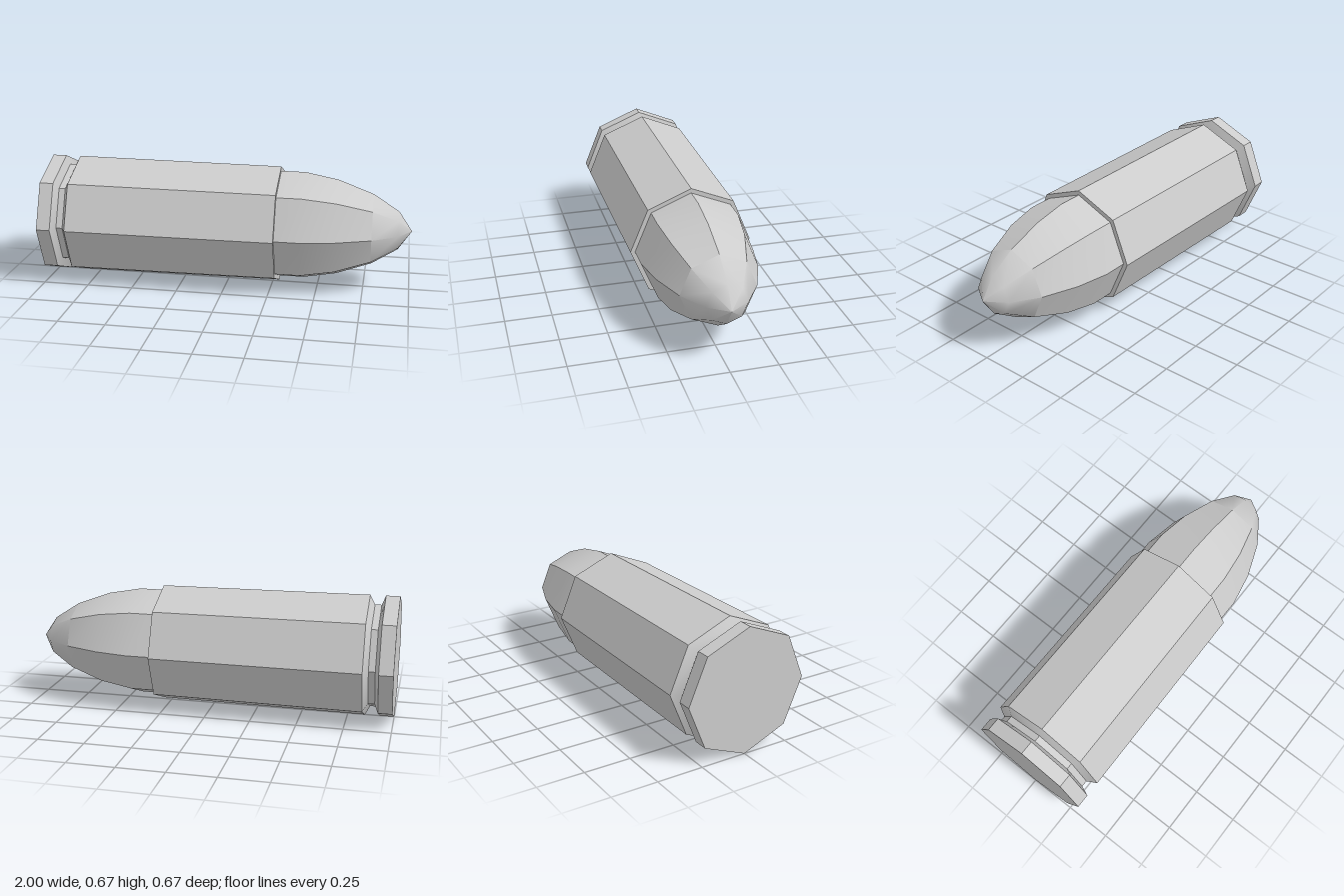
import * as THREE from 'three';
import { toCreasedNormals } from 'three/addons/utils/BufferGeometryUtils.js';

const SIDES = 8;
const AXIS_HEIGHT = 0.335;
const CREASE = THREE.MathUtils.degToRad(40);

// Turns a profile of [x, radius] points around the long x axis
function turned(name, profile, material) {
  const points = profile.map(([x, r]) => new THREE.Vector2(r, x));
  const geometry = new THREE.LatheGeometry(points, SIDES);
  geometry.rotateZ(-Math.PI / 2);
  const mesh = new THREE.Mesh(toCreasedNormals(geometry, CREASE), material);
  mesh.name = name;
  mesh.position.y = AXIS_HEIGHT;
  return mesh;
}

export function createModel() {
  const group = new THREE.Group();
  group.name = 'cartridge';
  const metal = new THREE.MeshStandardMaterial({ color: 0xcccccc });
  metal.name = 'pale grey metal';

  // Flat base and rim
  group.add(turned('rim', [[-1, 0], [-1, 0.335], [-0.925, 0.335]], metal));

  // Extractor groove with sloped walls
  group.add(turned('groove', [[-0.925, 0.335], [-0.905, 0.284], [-0.87, 0.284], [-0.843, 0.335]], metal));

  // Slightly tapered case, closed by the mouth ring
  group.add(turned('case', [[-0.843, 0.335], [0.287, 0.327], [0.287, 0.302]], metal));

  // Rounded projectile
  group.add(turned('projectile', [
    [0.287, 0.302], [0.42, 0.302], [0.6, 0.268], [0.79, 0.197], [0.928, 0.107], [1, 0],
  ], metal));

  return group;
}
